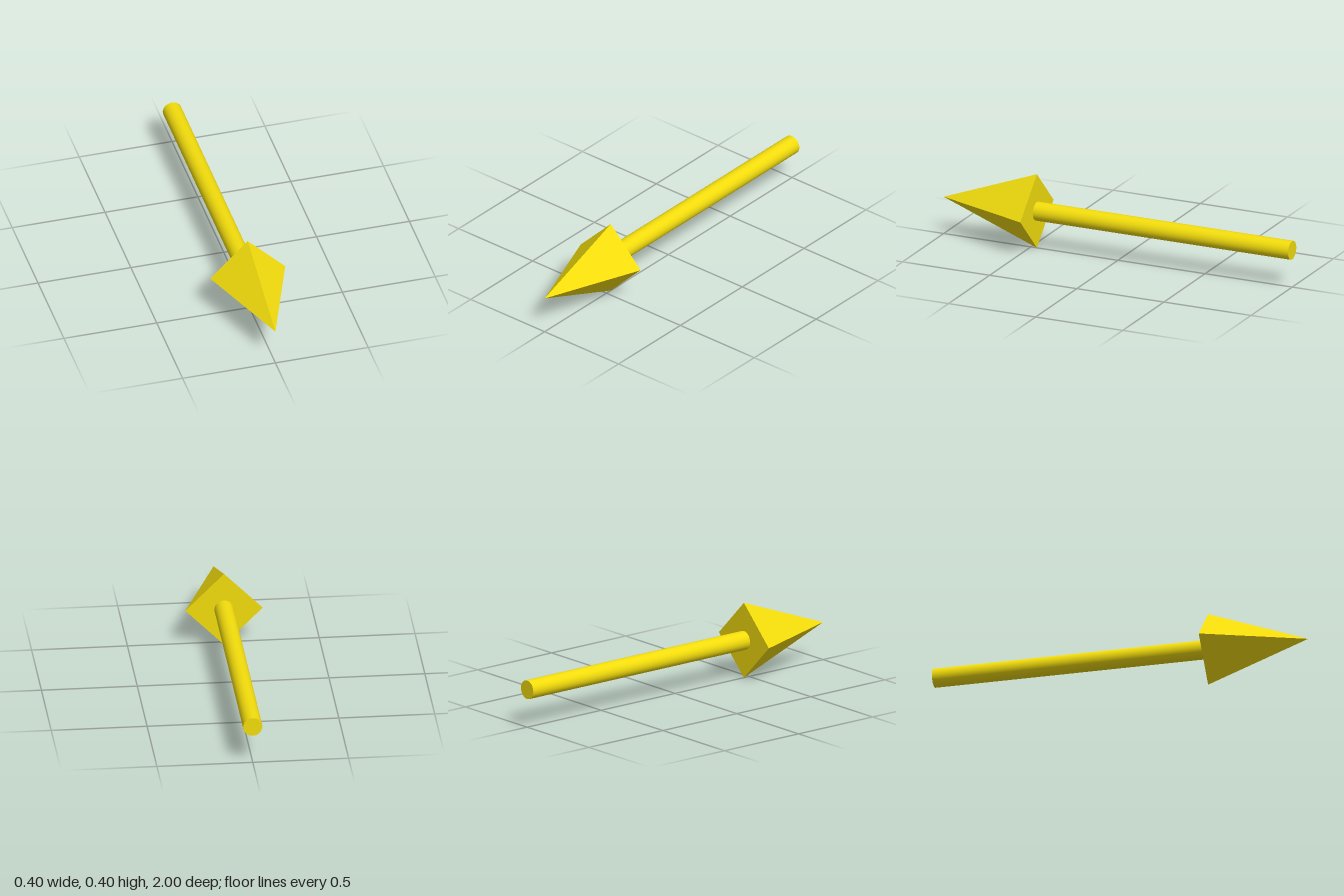
import * as THREE from 'three';

const AXIS_Y = 0.202;   // height of the arrow's axis
const BASE_Z = 0.465;   // where the head meets the shaft

export function createModel() {
  const arrow = new THREE.Group();
  arrow.name = 'arrow';

  // Places a y-axis geometry along z, from z0 to z1
  const addPart = (name, geometry, z0, z1, flatShading) => {
    geometry.rotateX(Math.PI / 2);
    const material = new THREE.MeshStandardMaterial({ color: 0xf2dc0c, flatShading });
    const mesh = new THREE.Mesh(geometry, material);
    mesh.name = name;
    mesh.position.set(0, AXIS_Y, (z0 + z1) / 2);
    arrow.add(mesh);
  };

  // Round shaft, closed at the back
  addPart('shaft', new THREE.CylinderGeometry(0.05, 0.05, BASE_Z + 1, 32), -1, BASE_Z, false);

  // Four-sided pyramid head with its corners up, down, left and right
  addPart('head', new THREE.ConeGeometry(0.202, 1 - BASE_Z, 4), BASE_Z, 1, true);

  return arrow;
}
